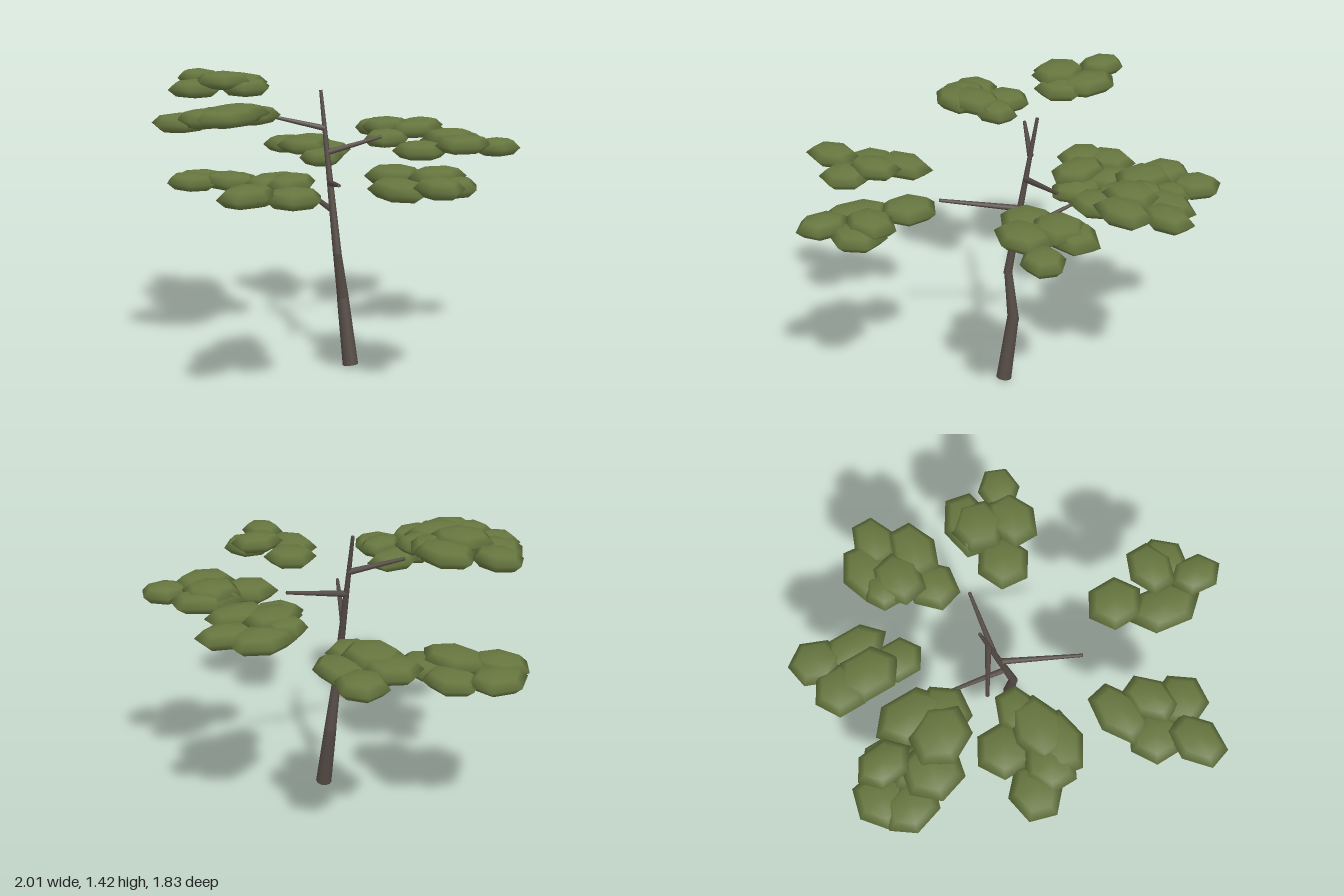
import * as THREE from 'three';

const bark = new THREE.MeshStandardMaterial({ color: 0x554b45 });
const leaf = new THREE.MeshStandardMaterial({ color: 0x66763f });
const UP = new THREE.Vector3(0, 1, 0);

// Tapered round limb between two points
function limb(name, from, to, r0, r1, sides = 8) {
  const a = new THREE.Vector3(...from), b = new THREE.Vector3(...to);
  const dir = b.clone().sub(a);
  const mesh = new THREE.Mesh(new THREE.CylinderGeometry(r1, r0, dir.length(), sides), bark);
  mesh.name = name;
  mesh.position.copy(a).lerp(b, 0.5);
  mesh.quaternion.setFromUnitVectors(UP, dir.normalize());
  return mesh;
}

// Flat low-poly leaf tufts; each is [x, z, half width, half depth, turn]
const tuftGeometry = new THREE.SphereGeometry(1, 6, 4);
const lift = [0, -0.012, 0.012, -0.02, 0.006];

function leafPad(name, y, tufts) {
  const pad = new THREE.Group();
  pad.name = name;
  tufts.forEach(([x, z, rx, rz, turn = 0], i) => {
    const top = i === tufts.length - 1; // the last tuft crowns the pad
    const mesh = new THREE.Mesh(tuftGeometry, leaf);
    mesh.name = 'leafTuft';
    mesh.position.set(x, y + (top ? 0.022 : lift[i % 5]), z);
    mesh.scale.set(rx, 0.048, rz);
    mesh.rotation.y = turn;
    pad.add(mesh);
  });
  return pad;
}

export function createModel() {
  const tree = new THREE.Group();
  tree.name = 'tree';

  // Bent trunk in three tapering lengths
  const base = [0.028, 0.008, -0.073], knee = [-0.03, 0.335, -0.07];
  const bend = [-0.028, 0.58, -0.032], tip = [-0.18, 1.34, -0.05];
  tree.add(
    limb('lowerTrunk', base, knee, 0.038, 0.029, 10),
    limb('middleTrunk', [-0.03, 0.32, -0.073], bend, 0.029, 0.02, 10),
    limb('upperTrunk', [-0.025, 0.565, -0.032], tip, 0.021, 0.008, 10),
  );

  // Bare branches
  const branches = [
    ['rightBranch', [-0.065, 0.77, -0.036], [-0.39, 0.838, -0.065]],
    ['leftBranch', [-0.09, 0.9, -0.04], [0.235, 0.963, 0.155]],
    ['backBranch', [-0.12, 1.045, -0.043], [-0.07, 1.1, -0.335]],
    ['frontBranch', [-0.145, 1.16, -0.046], [-0.28, 1.22, 0.17]],
  ];
  for (const [name, from, to] of branches) tree.add(limb(name, from, to, 0.015, 0.008));

  // Leaf pads spread around the trunk
  tree.add(
    leafPad('leftLeafPad', 1.035, [
      [0.48, 0.04, 0.14, 0.13], [0.78, -0.02, 0.13, 0.13, 0.3], [0.87, 0.12, 0.13, 0.1, -0.1],
      [0.67, 0.17, 0.18, 0.12, -0.15], [0.71, -0.01, 0.11, 0.14]]),
    leafPad('frontLeftLeafPad', 1.01, [
      [0.21, 0.49, 0.11, 0.17, 0.2], [0.48, 0.58, 0.13, 0.13, 0.4], [0.43, 0.78, 0.11, 0.15, 0.3],
      [0.29, 0.66, 0.13, 0.13], [0.36, 0.51, 0.1, 0.14, 0.4]]),
    leafPad('frontLeafPad', 1.245, [
      [-0.21, 0.32, 0.1, 0.14], [-0.35, 0.42, 0.13, 0.13], [-0.14, 0.52, 0.11, 0.16, -0.2],
      [-0.33, 0.64, 0.12, 0.14, -0.3], [-0.22, 0.58, 0.12, 0.13], [-0.18, 0.43, 0.12, 0.17]]),
    leafPad('upperRightLeafPad', 1.35, [
      [-0.62, 0.12, 0.17, 0.12], [-0.5, 0.17, 0.13, 0.13, 0.4], [-0.82, 0.24, 0.13, 0.1, 0.1],
      [-0.66, 0.36, 0.14, 0.14, 0.3], [-0.56, 0.26, 0.15, 0.13, 0.5]]),
    leafPad('lowerRightLeafPad', 0.83, [
      [-0.88, 0.22, 0.13, 0.15, 0.2], [-0.75, 0.07, 0.15, 0.12], [-0.78, 0.32, 0.15, 0.12, 0.3],
      [-0.56, 0.09, 0.16, 0.12], [-0.64, 0.18, 0.18, 0.12, 0.2]]),
    leafPad('backRightLeafPad', 0.965, [
      [-0.82, -0.46, 0.13, 0.12, -0.4], [-0.64, -0.43, 0.17, 0.11], [-0.79, -0.28, 0.13, 0.13],
      [-0.49, -0.28, 0.12, 0.11], [-0.65, -0.28, 0.16, 0.13]]),
    leafPad('backLeafPad', 1.085, [
      [-0.31, -0.79, 0.1, 0.14], [-0.41, -0.68, 0.12, 0.16, -0.1], [-0.18, -0.65, 0.11, 0.16],
      [-0.19, -0.47, 0.12, 0.14, 0.3], [-0.39, -0.55, 0.1, 0.1], [-0.31, -0.56, 0.12, 0.14, 0.2]]),
    leafPad('backLeftLeafPad', 1.075, [
      [0.11, -0.64, 0.12, 0.18, -0.2], [0.33, -0.73, 0.1, 0.12, -0.4], [0.29, -0.55, 0.12, 0.15],
      [0.15, -0.4, 0.13, 0.14, -0.1], [0.14, -0.6, 0.13, 0.14, -0.3]]),
  );
  return tree;
}
